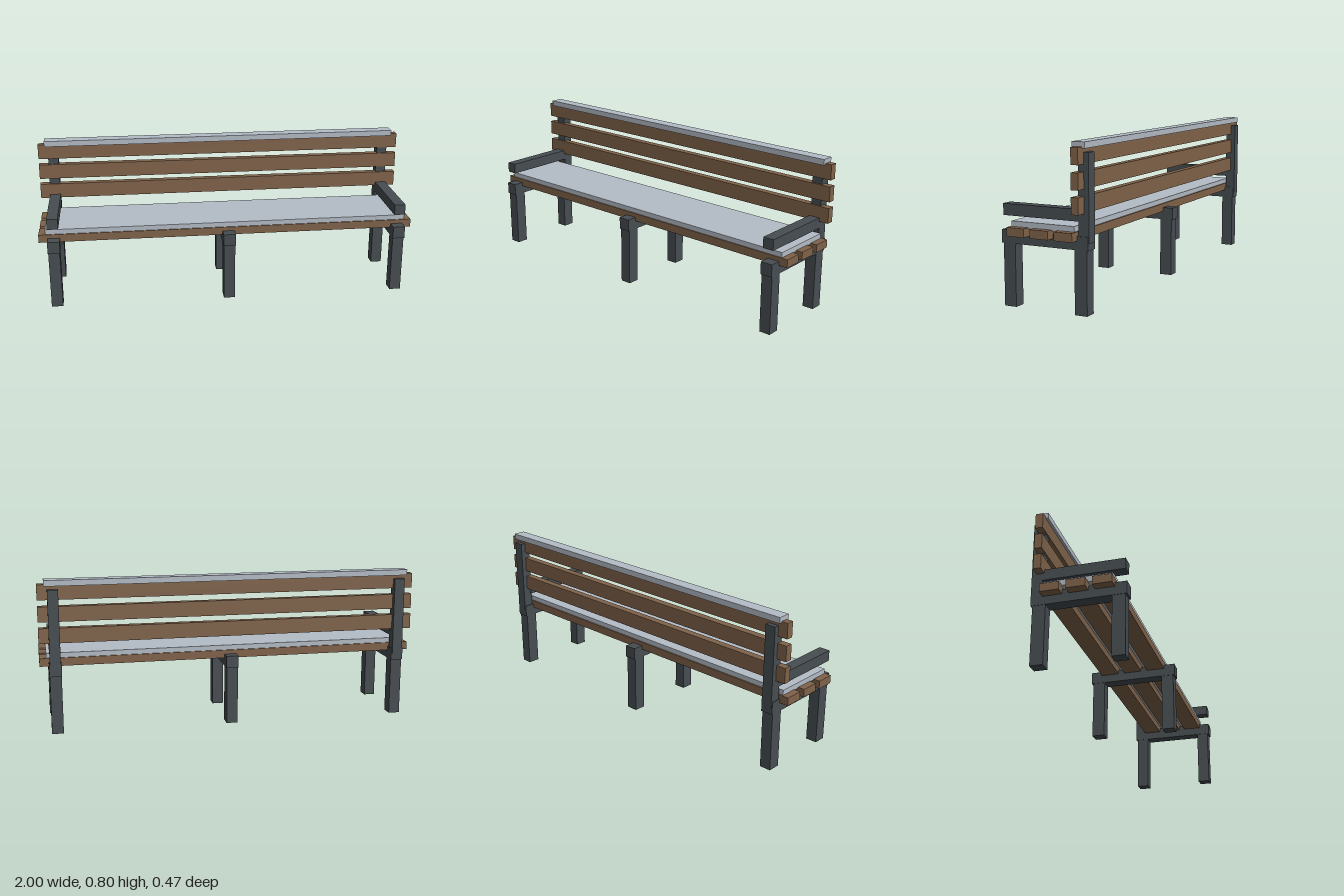
import * as THREE from 'three';

export function createModel() {
  const bench = new THREE.Group();
  bench.name = 'bench';
  const material = (name, color) => {
    const m = new THREE.MeshStandardMaterial({ color });
    m.name = name;
    return m;
  };
  const wood = material('brown wood', 0x80634a);
  const metal = material('dark grey metal', 0x464d51);
  const pale = material('pale grey cover', 0xb4bcc6);

  // Box centred at x with the given width, spanning y0..y1 and z0..z1
  const addBox = (parent, name, mat, x, width, y0, y1, z0, z1) => {
    const mesh = new THREE.Mesh(new THREE.BoxGeometry(width, y1 - y0, z1 - z0), mat);
    mesh.position.set(x, (y0 + y1) / 2, (z0 + z1) / 2);
    mesh.name = name;
    parent.add(mesh);
  };

  // Three frames: legs with a cross beam; the outer two carry posts and armrests
  for (const x of [-0.921, 0, 0.921]) {
    const frame = new THREE.Group();
    frame.name = x === 0 ? 'middleFrame' : x > 0 ? 'leftFrame' : 'rightFrame';
    addBox(frame, 'frontLeg', metal, x, 0.06, 0, 0.31, 0.163, 0.227);
    addBox(frame, 'backLeg', metal, x, 0.06, 0, 0.31, -0.222, -0.157);
    addBox(frame, 'crossBeam', metal, x, 0.064, 0.305, 0.369, -0.23, 0.235);
    if (x !== 0) {
      addBox(frame, 'backPost', metal, x, 0.055, 0.338, 0.752, -0.233, -0.178);
      addBox(frame, 'armrest', metal, x, 0.058, 0.437, 0.493, -0.185, 0.227);
    }
    bench.add(frame);
  }

  // Seat and backrest slats
  for (const z of [0.13, 0.0025, -0.1255])
    addBox(bench, 'seatSlat', wood, 0, 2, 0.348, 0.39, z - 0.0478, z + 0.0478);
  for (const y of [0.514, 0.625, 0.738])
    addBox(bench, 'backSlat', wood, 0, 2, y - 0.0395, y + 0.0395, -0.208, -0.17);

  // Pale layers on the seat and along the top of the backrest
  addBox(bench, 'seatCover', pale, 0, 1.93, 0.385, 0.416, -0.166, 0.172);
  addBox(bench, 'topCover', pale, 0, 1.93, 0.77, 0.8, -0.222, -0.157);

  return bench;
}
